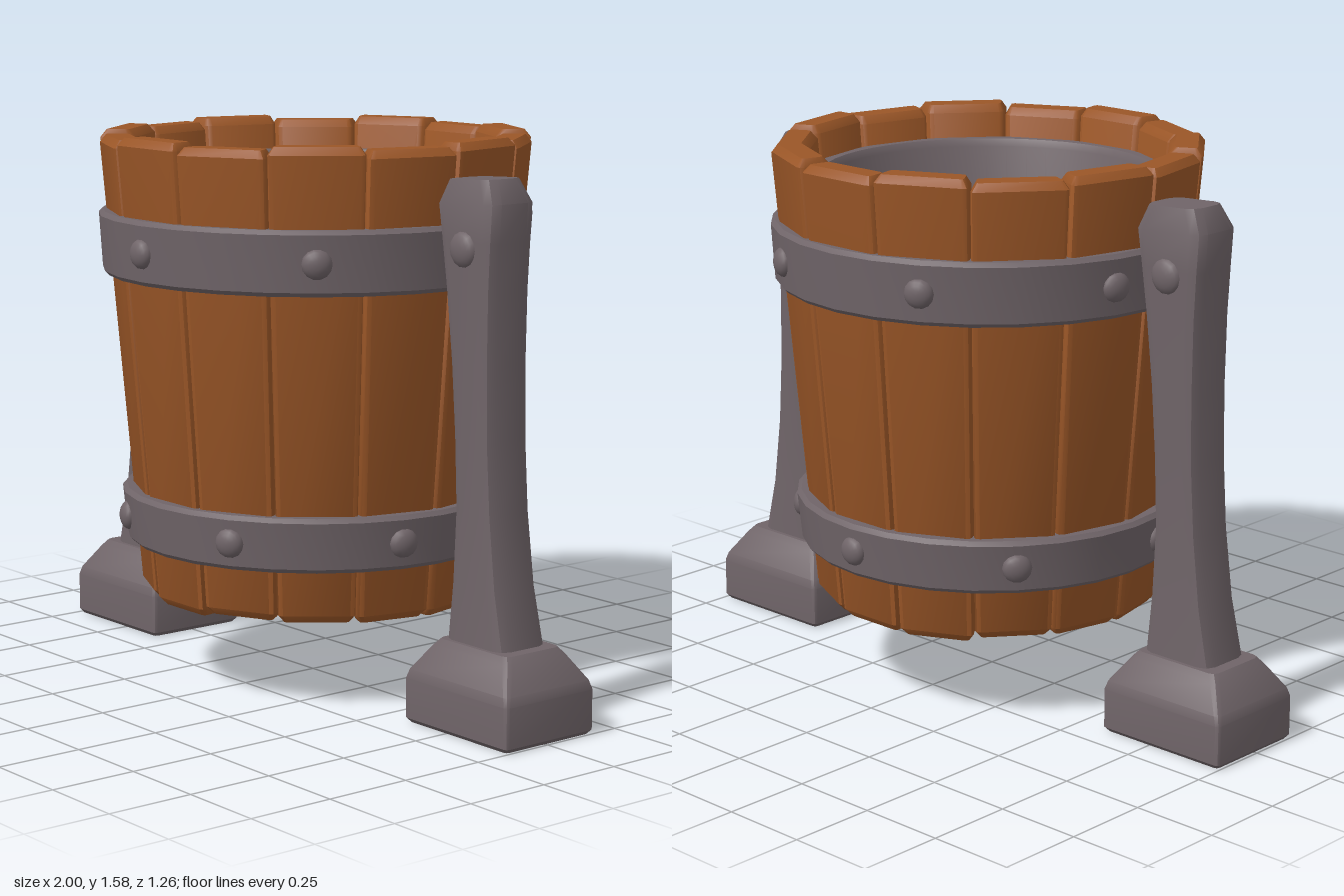
import * as THREE from 'three';
import { toCreasedNormals } from 'three/addons/utils/BufferGeometryUtils.js';

const wood = new THREE.MeshStandardMaterial({ color: 0x9a5627 });
wood.name = 'wood';
const metal = new THREE.MeshStandardMaterial({ color: 0x6f6468 });
metal.name = 'metal';

const STAVES = 14;
const STEP = (Math.PI * 2) / STAVES;

function addMesh(parent, name, geometry, material) {
  const mesh = new THREE.Mesh(geometry, material);
  mesh.name = name;
  parent.add(mesh);
  return mesh;
}

// Rectangle with rounded corners, counterclockwise seen from above
function section({ y, cx = 0, cz = 0, hw, hd, c, tilt = 0, wedge = false }) {
  const points = [];
  for (let q = 0; q < 4; q++) {
    const sx = q === 0 || q === 3 ? 1 : -1;
    const sz = q < 2 ? -1 : 1;
    for (let k = 0; k <= 2; k++) {
      const a = (q + k / 2) * Math.PI / 2;
      let x = sx * (hw - c) + c * Math.cos(a);
      const z = cz + sz * (hd - c) - c * Math.sin(a);
      if (wedge) x *= z / (cz + hd);
      points.push([cx + x, y + tilt * x, z]);
    }
  }
  return points;
}

// Closed solid through a stack of sections
function loft(specs, crease) {
  const rings = specs.map(section);
  const n = rings[0].length;
  const pos = [];
  const tri = (a, b, c) => pos.push(...a, ...b, ...c);
  const middle = (ring) => [0, 1, 2].map((i) => ring.reduce((s, p) => s + p[i], 0) / n);
  const first = rings[0];
  const last = rings[rings.length - 1];
  for (let j = 0; j < n; j++) {
    const k = (j + 1) % n;
    for (let i = 0; i < rings.length - 1; i++) {
      tri(rings[i][j], rings[i][k], rings[i + 1][k]);
      tri(rings[i][j], rings[i + 1][k], rings[i + 1][j]);
    }
    tri(middle(first), first[k], first[j]);
    tri(middle(last), last[j], last[k]);
  }
  const geometry = new THREE.BufferGeometry();
  geometry.setAttribute('position', new THREE.Float32BufferAttribute(pos, 3));
  return toCreasedNormals(geometry, crease);
}

function lathe(profile, sides) {
  const points = profile.map(([r, y]) => new THREE.Vector2(r, y));
  return toCreasedNormals(new THREE.LatheGeometry(points, sides).toNonIndexed(), 0.6);
}

// Domed rivet facing +z, turned about the vertical axis
const dome = new THREE.SphereGeometry(1, 14, 5, 0, Math.PI * 2, 0, Math.PI / 2);
dome.rotateX(Math.PI / 2);
function addRivet(parent, x, y, z, angle, radius) {
  const rivet = addMesh(parent, 'rivet', dome, metal);
  rivet.position.set(x, y, z);
  rivet.rotation.y = angle;
  rivet.scale.set(radius, radius, 0.027);
}

function addStave(parent, i) {
  const top = 1.58 - 0.005 * ((i * 2) % 4);
  const bottom = 0.25 + 0.004 * ((i * 3) % 4);
  const ring = (y, inset) => {
    const outer = 0.492 + ((y - 0.25) / 1.33) * 0.113;
    return {
      y, cz: outer - 0.05, hw: outer * Math.tan(STEP / 2) - 0.002 - inset,
      hd: 0.05 - inset, c: 0.018 - inset * 0.4, wedge: true,
    };
  };
  const stave = addMesh(parent, 'stave', loft([
    ring(bottom, 0.018), ring(bottom + 0.022, 0), ring(top - 0.022, 0), ring(top, 0.018),
  ], 0.7), wood);
  stave.rotation.y = i * STEP;
}

function addBand(parent, name, y0, y1, r0, r1, firstRivet) {
  const b = 0.012;
  const band = new THREE.Group();
  band.name = name;
  parent.add(band);
  addMesh(band, 'hoop', lathe([
    [r0 - 0.06, y0], [r0 - b, y0], [r0, y0 + b], [r1, y1 - b], [r1 - b, y1], [r1 - 0.06, y1],
  ], 28), metal);
  const r = (r0 + r1) / 2 - 0.004;
  for (let i = 0; i < 7; i++) {
    const a = firstRivet + i * STEP * 2;
    addRivet(band, r * Math.sin(a), (y0 + y1) / 2, r * Math.cos(a), a, 0.042);
  }
}

function createBucket() {
  const bucket = new THREE.Group();
  bucket.name = 'bucket';
  bucket.position.z = -0.01;
  for (let i = 0; i < STAVES; i++) addStave(bucket, i);
  // Inner vessel with rim and floor
  addMesh(bucket, 'liner', lathe([
    [0, 0.28], [0.43, 0.28], [0.515, 1.47], [0.505, 1.485], [0.475, 1.485],
    [0.462, 1.465], [0.43, 0.34], [0, 0.34],
  ], 48), metal);
  addBand(bucket, 'upperBand', 1.18, 1.36, 0.61, 0.62, 0);
  addBand(bucket, 'lowerBand', 0.41, 0.565, 0.547, 0.56, STEP);
  return bucket;
}

function createSupport(side) {
  const support = new THREE.Group();
  support.name = side > 0 ? 'leftSupport' : 'rightSupport';
  support.position.z = -0.01;

  // Foot block with sloped shoulders: height, half width, half depth, corner
  const foot = [
    [0, 0.197, 0.15, 0.01], [0.012, 0.207, 0.16, 0.012], [0.125, 0.207, 0.16, 0.012],
    [0.15, 0.2, 0.154, 0.015], [0.22, 0.155, 0.112, 0.02], [0.24, 0.138, 0.098, 0.02],
  ];
  addMesh(support, 'foot', loft(foot.map(([y, hw, hd, c]) => (
    { y, cx: side * 0.793, hw, hd, c })), 0.5), metal);

  // Curved post: height, inner x, outer x, half depth
  const post = [
    [0.22, 0.66, 0.9, 0.086], [0.4, 0.675, 0.86, 0.082], [0.6, 0.683, 0.835, 0.08],
    [0.8, 0.675, 0.822, 0.08], [1.0, 0.66, 0.819, 0.08], [1.2, 0.638, 0.822, 0.081],
    [1.33, 0.62, 0.829, 0.082], [1.43, 0.605, 0.836, 0.082], [1.495, 0.628, 0.802, 0.064],
  ];
  addMesh(support, 'post', loft(post.map(([y, inner, outer, hd]) => ({
    y, cx: side * (inner + outer) / 2, hw: (outer - inner) / 2, hd, c: 0.035,
    tilt: y > 1.4 ? side * 0.05 : 0,
  })), 0.7), metal);

  addRivet(support, side * 0.722, 1.31, 0.076, 0, 0.05);
  addRivet(support, side * 0.722, 1.31, -0.076, Math.PI, 0.05);
  return support;
}

export function createModel() {
  const model = new THREE.Group();
  model.name = 'bucketOnSupports';
  model.add(createBucket(), createSupport(1), createSupport(-1));
  return model;
}
